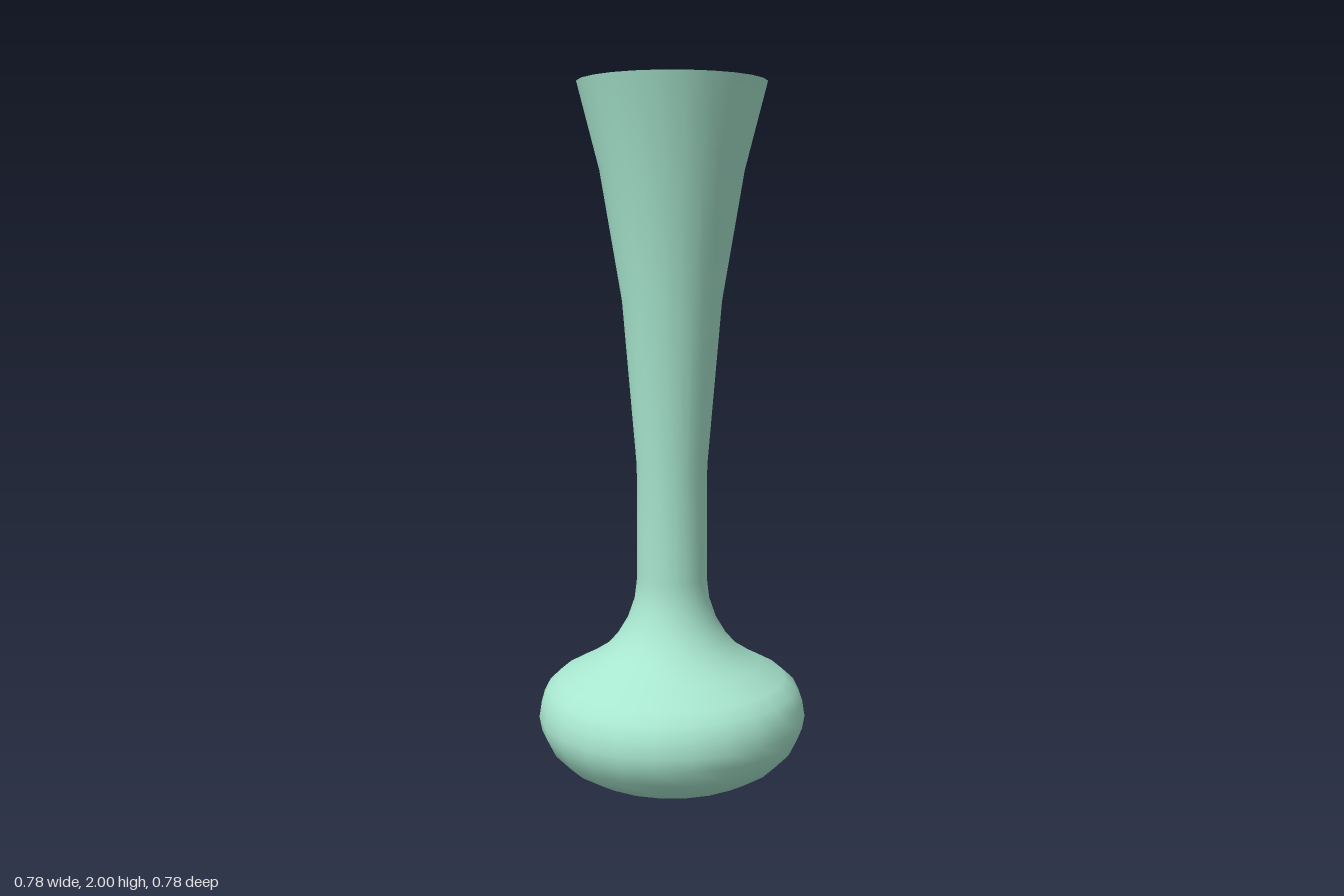
import * as THREE from 'three';

export function createModel() {
  const group = new THREE.Group();
  group.name = 'budVase';

  // Half-profile [radius, height] from the small base opening up to the flared rim
  const profile = [
    [0.05, 0], [0.13, 0.004], [0.2, 0.014], [0.265, 0.034], [0.32, 0.066],
    [0.36, 0.108], [0.383, 0.155], [0.39, 0.195], [0.383, 0.24], [0.364, 0.278],
    [0.33, 0.307], [0.255, 0.347], [0.2, 0.383], [0.16, 0.427], [0.13, 0.477],
    [0.11, 0.535], [0.102, 0.6], [0.102, 0.93], [0.142, 1.4], [0.203, 1.76], [0.265, 2],
  ].map(([r, y]) => new THREE.Vector2(r, y));

  // Thin single-walled body, open at the rim and base
  const vase = new THREE.Mesh(
    new THREE.LatheGeometry(profile, 24),
    new THREE.MeshStandardMaterial({ color: 0xa8e6cf, side: THREE.DoubleSide }),
  );
  vase.name = 'vaseBody';
  group.add(vase);

  return group;
}
